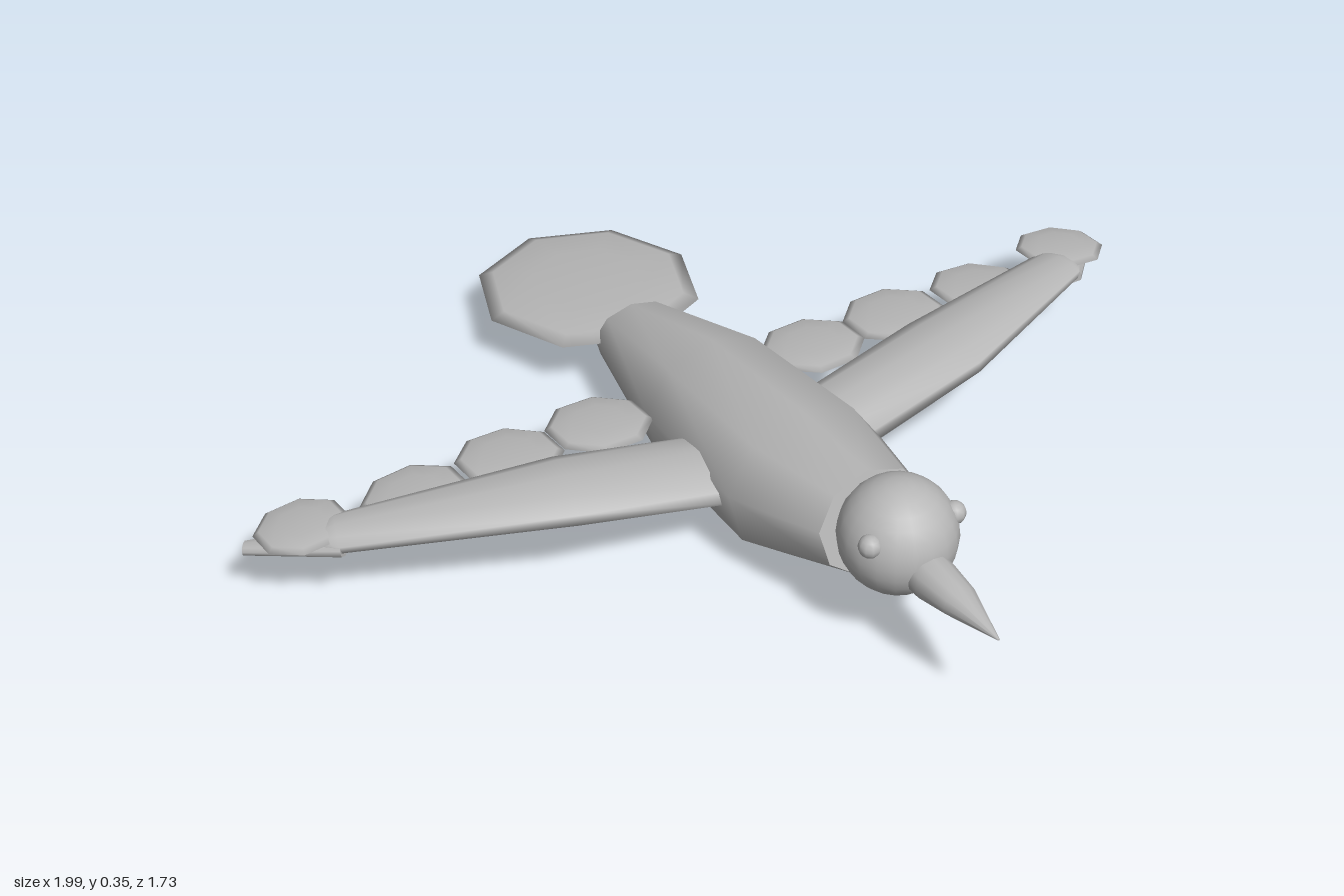
import * as THREE from 'three';

const V = (x, y, z) => new THREE.Vector3(x, y, z);

// Skin elliptical rings along a path. Station: [x, y, z, half width, half height]
function loft(stations, sides) {
  const pos = [], index = [], n = stations.length;
  const centres = stations.map(s => V(s[0], s[1], s[2]));
  const ring = i => {
    const dir = centres[Math.min(i + 1, n - 1)].clone().sub(centres[Math.max(i - 1, 0)]).normalize();
    const side = V(0, 1, 0).cross(dir).normalize();
    const up = dir.clone().cross(side);
    for (let j = 0; j < sides; j++) {
      const a = Math.PI / 2 + (j / sides) * Math.PI * 2;
      const p = centres[i].clone()
        .addScaledVector(side, Math.cos(a) * stations[i][3])
        .addScaledVector(up, Math.sin(a) * stations[i][4]);
      pos.push(p.x, p.y, p.z);
    }
  };
  for (let i = 0; i < n; i++) ring(i);
  for (let i = 0; i < n - 1; i++) {
    for (let j = 0; j < sides; j++) {
      const k = (j + 1) % sides;
      const a = i * sides + j, b = i * sides + k;
      index.push(a, b, b + sides, a, b + sides, a + sides);
    }
  }
  // separate end caps keep a sharp rim
  for (const end of [0, n - 1]) {
    const base = pos.length / 3;
    ring(end);
    for (let j = 1; j < sides - 1; j++) {
      if (end) index.push(base, base + j, base + j + 1);
      else index.push(base, base + j + 1, base + j);
    }
  }
  const g = new THREE.BufferGeometry();
  g.setAttribute('position', new THREE.Float32BufferAttribute(pos, 3));
  g.setIndex(index);
  g.computeVertexNormals();
  return g;
}

// Flattened eight-sided lens used for feathers
function lens(rx, ry, rz, turn) {
  return new THREE.SphereGeometry(1, 8, 6).rotateY(turn).scale(rx, ry, rz);
}

export function createModel() {
  const model = new THREE.Group();
  model.name = 'bird';
  const grey = new THREE.MeshStandardMaterial({ color: 0xb8b8b8 });
  grey.name = 'plumage grey';

  const add = (name, geometry, x = 0, y = 0, z = 0, parent = model) => {
    const mesh = new THREE.Mesh(geometry, grey);
    mesh.name = name;
    mesh.position.set(x, y, z);
    parent.add(mesh);
    return mesh;
  };

  // Body, from tail end to neck
  add('body', loft([
    [0, 0.119, -0.425, 0.09, 0.062],
    [0, 0.137, -0.105, 0.157, 0.145],
    [0, 0.163, 0.235, 0.177, 0.153],
    [0, 0.214, 0.46, 0.12, 0.107],
  ], 9));

  // Head, beak and eyes
  add('head', new THREE.SphereGeometry(0.115, 20, 14), 0, 0.24, 0.54);
  add('beak', loft([
    [0, 0.213, 0.62, 0.045, 0.045],
    [0, 0.213, 0.665, 0.045, 0.043],
    [0, 0.218, 0.74, 0.036, 0.031],
    [0, 0.215, 0.86, 0.002, 0.002],
  ], 12));
  for (const s of [1, -1]) {
    add(s > 0 ? 'leftEye' : 'rightEye', new THREE.SphereGeometry(0.023, 10, 8), s * 0.093, 0.28, 0.585);
  }

  // Tail fan
  const tail = add('tail', lens(0.23, 0.024, 0.256, 0), 0, 0.117, -0.61);
  tail.rotation.x = -0.085;

  // Wings: arm, wing tip and a row of feathers
  for (const s of [1, -1]) {
    const wing = new THREE.Group();
    wing.name = s > 0 ? 'leftWing' : 'rightWing';
    model.add(wing);

    add('wingArm', loft([
      [s * 0.08, 0.135, 0.095, 0.1, 0.052],
      [s * 0.435, 0.205, 0.066, 0.1, 0.038],
      [s * 0.84, 0.166, -0.093, 0.055, 0.022],
      [s * 0.868, 0.163, -0.104, 0.036, 0.014],
    ], 10), 0, 0, 0, wing);
    add('wingTip', loft([
      [s * 0.83, 0.162, -0.075, 0.05, 0.022],
      [s * 0.985, 0.122, -0.197, 0.019, 0.011],
    ], 10), 0, 0, 0, wing);

    // centre x, y, z, radius
    [
      [0.25, 0.162, -0.13, 0.108],
      [0.45, 0.164, -0.13, 0.108],
      [0.66, 0.162, -0.12, 0.108],
      [0.885, 0.163, -0.15, 0.094],
    ].forEach(([x, y, z, r], i) => {
      const feather = add('feather' + (i + 1), lens(r, 0.015, r, Math.PI / 8), s * x, y, z, wing);
      feather.rotation.set(-0.1, 0, s * (i < 2 ? 0.02 : -0.08));
    });
  }
  return model;
}
